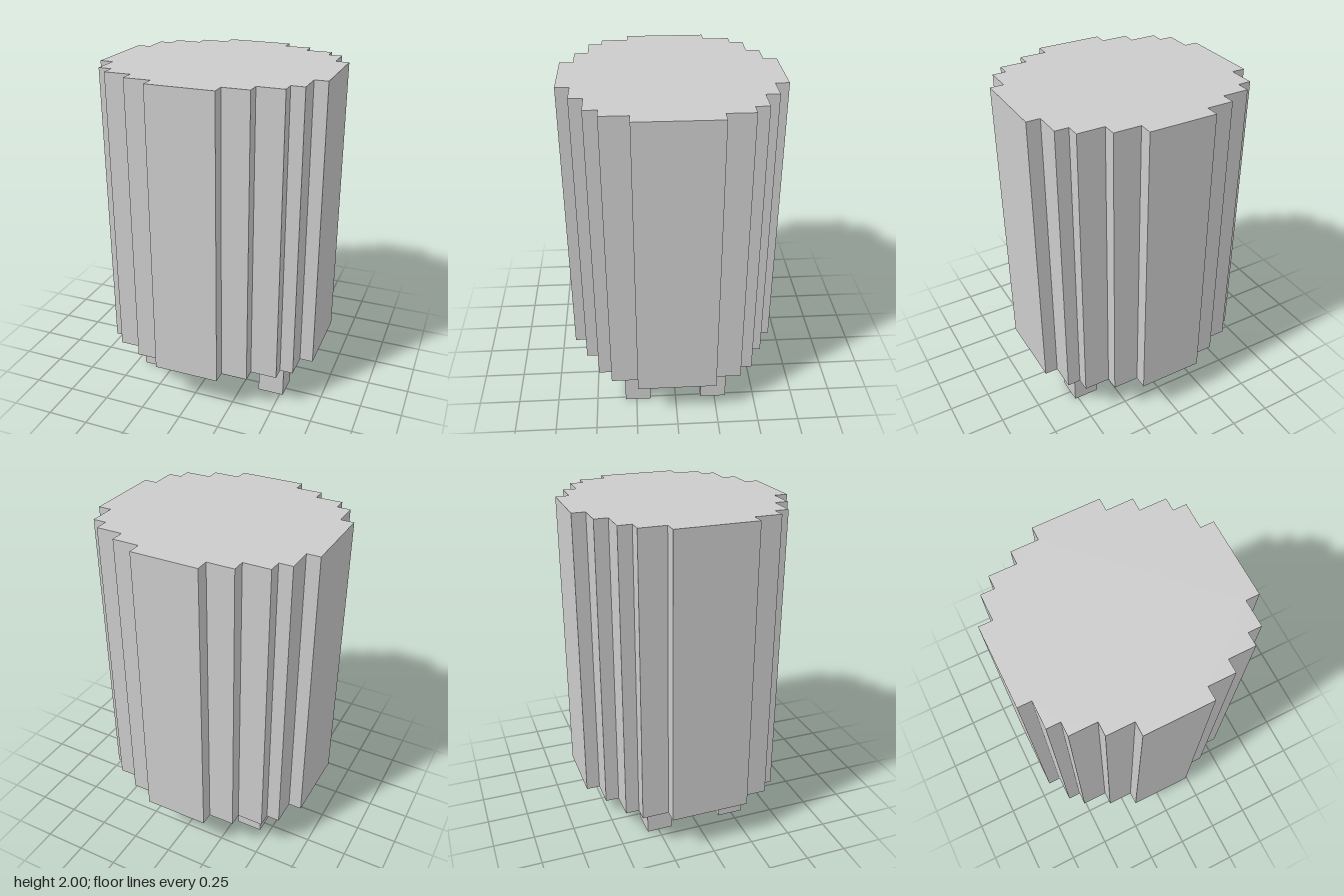
import * as THREE from 'three';

export function createModel() {
  const model = new THREE.Group();
  const material = new THREE.MeshStandardMaterial({ color: 0xcccccc, flatShading: true });
  const legHeight = 0.24, height = 2;

  // Stepped outline of one quarter, mirrored into a full blocky circle
  const quarter = [
    [0.68, 0.24], [0.6, 0.24], [0.6, 0.4], [0.52, 0.4], [0.52, 0.48],
    [0.36, 0.48], [0.36, 0.56], [0.2, 0.56], [0.2, 0.64],
  ];
  const mirrored = (sx, sy) => {
    const points = quarter.map(([x, y]) => new THREE.Vector2(sx * x, sy * y));
    return sx * sy > 0 ? points : points.reverse();
  };
  const outline = new THREE.Shape([
    ...mirrored(1, 1), ...mirrored(-1, 1), ...mirrored(-1, -1), ...mirrored(1, -1),
  ]);

  // Upright body
  const bodyGeometry = new THREE.ExtrudeGeometry(outline, {
    depth: height - legHeight, bevelEnabled: false,
  });
  bodyGeometry.rotateX(-Math.PI / 2).translate(0, legHeight, 0);
  const body = new THREE.Mesh(bodyGeometry, material);
  body.name = 'body';
  model.add(body);

  // Four square legs, set slightly towards +x
  const legGeometry = new THREE.BoxGeometry(0.16, legHeight, 0.16);
  for (const [side, x] of [['Right', -0.36], ['Left', 0.44]]) {
    for (const [end, z] of [['front', 0.24], ['back', -0.24]]) {
      const leg = new THREE.Mesh(legGeometry, material);
      leg.name = `${end}${side}Leg`;
      leg.position.set(x, legHeight / 2, z);
      model.add(leg);
    }
  }
  return model;
}
